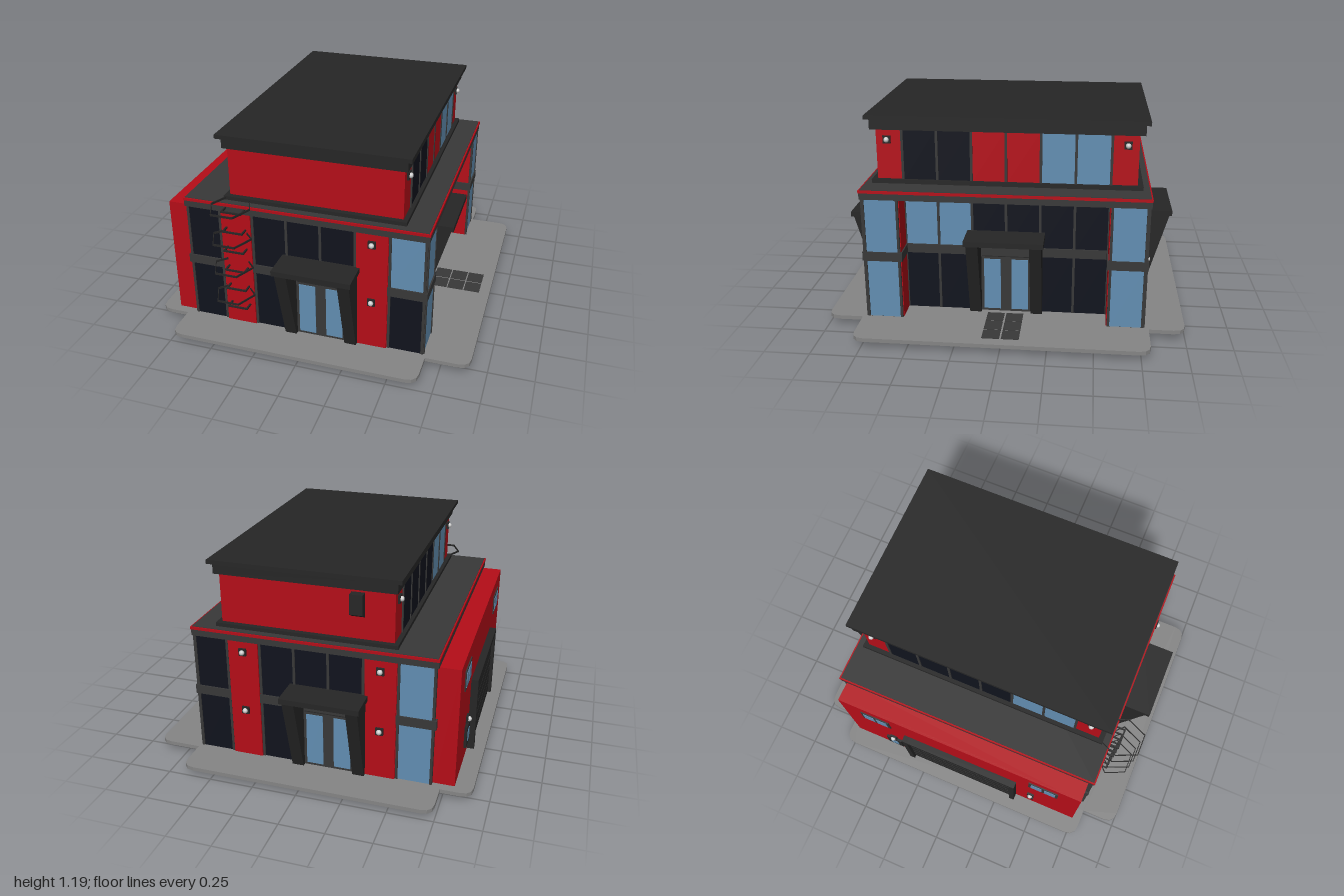
import * as THREE from 'three';

const mat = (color) => new THREE.MeshStandardMaterial({ color });
const RED = mat(0xb50d18), DARK = mat(0x262626), TRIM = mat(0x383838), BLACK = mat(0x10131d),
  BLUE = mat(0x628eb2), PAVING = mat(0x858585), LAMP = mat(0xcccccc);
const paneMat = { r: RED, k: BLACK, b: BLUE };

function add(parent, name, geometry, material) {
  const mesh = new THREE.Mesh(geometry, material);
  mesh.name = name;
  parent.add(mesh);
  return mesh;
}

// Box given by its minimum and maximum on each axis
function box(parent, name, material, x0, x1, y0, y1, z0, z1) {
  const mesh = add(parent, name, new THREE.BoxGeometry(x1 - x0, y1 - y0, z1 - z0), material);
  mesh.position.set((x0 + x1) / 2, (y0 + y1) / 2, (z0 + z1) / 2);
  return mesh;
}

// Plan outline extruded upwards
function slab(parent, name, material, shape, y0, y1) {
  const geo = new THREE.ExtrudeGeometry(shape, { depth: y1 - y0, bevelEnabled: false, curveSegments: 3 });
  geo.rotateX(-Math.PI / 2);
  add(parent, name, geo, material).position.y = y0;
}

// Wall frame: local x runs along the wall, local z points outwards
function wall(parent, name, x, z, angle) {
  const g = new THREE.Group();
  g.name = name;
  g.position.set(x, 0, z);
  g.rotation.y = angle;
  parent.add(g);
  return g;
}

// Row of panes between the given edges, with mullions on the edges
function panes(g, edges, code, y0, y1) {
  [...code].forEach((c, i) => {
    if (c !== '-') box(g, c === 'r' ? 'wallPanel' : 'windowPane', paneMat[c], edges[i] + 0.007, edges[i + 1] - 0.007, y0, y1, -0.01, 0.003);
  });
  edges.forEach((e) => box(g, 'mullion', TRIM, e - 0.007, e + 0.007, y0, y1, -0.01, 0.008));
}

function lamp(g, x, y) {
  box(g, 'lampMount', DARK, x - 0.021, x + 0.021, y - 0.021, y + 0.021, 0, 0.012);
  const globe = add(g, 'lampGlobe', new THREE.SphereGeometry(0.015, 12, 8), LAMP);
  globe.position.set(x, y, 0.015);
}

// Double door under a canopy carried by two tapered fins
function entrance(g, cx) {
  const e = new THREE.Group();
  e.name = 'entrance';
  e.position.x = cx;
  g.add(e);
  box(e, 'canopy', DARK, -0.217, 0.217, 0.515, 0.545, -0.01, 0.178);
  const fin = new THREE.Shape([[0, 0.025], [0.02, 0.025], [0.035, 0.06], [0.165, 0.515], [0, 0.515]].map((p) => new THREE.Vector2(...p)));
  for (const x of [-0.205, 0.14]) {
    const geo = new THREE.ExtrudeGeometry(fin, { depth: 0.065, bevelEnabled: false });
    geo.rotateY(-Math.PI / 2);
    add(e, 'canopyFin', geo, DARK).position.x = x + 0.065;
  }
  box(e, 'doorFrame', TRIM, -0.14, 0.14, 0.06, 0.515, -0.01, 0.014);
  box(e, 'doorHeader', DARK, -0.135, 0.135, 0.455, 0.459, 0, 0.016);
  box(e, 'doorHeader', DARK, -0.135, 0.135, 0.395, 0.399, 0, 0.016);
  for (const s of [-1, 1]) box(e, 'doorGlass', BLUE, s * 0.077 - 0.047, s * 0.077 + 0.047, 0.075, 0.38, 0, 0.018);
}

// Plan of the main block with a recess in its +x side
function plan(o) {
  const x0 = -0.69 - o, x1 = 0.65 + o, xr = 0.51 + o, z = 0.77 + o, zr = 0.57 - o;
  return new THREE.Shape([[x0, -z], [x1, -z], [x1, -zr], [xr, -zr], [xr, zr], [x1, zr], [x1, z], [x0, z]].map((p) => new THREE.Vector2(...p)));
}

// Cross-shaped pavement with rounded outer corners
function pavementShape() {
  const s = new THREE.Shape(), r = 0.065, X = 0.91, Z = 0.8, a = -0.74, b = 0.667;
  const corner = (x, y, dx0, dy0, dx1, dy1) => {
    s.lineTo(x + dx0 * r, y + dy0 * r);
    s.quadraticCurveTo(x, y, x + dx1 * r, y + dy1 * r);
  };
  s.moveTo(a, -Z);
  corner(a, -1, 0, 1, 1, 0);
  corner(b, -1, -1, 0, 0, 1);
  s.lineTo(b, -Z);
  corner(X, -Z, -1, 0, 0, 1);
  corner(X, Z, 0, -1, -1, 0);
  s.lineTo(b, Z);
  corner(b, 1, 0, -1, -1, 0);
  corner(a, 1, 1, 0, 0, -1);
  s.lineTo(a, Z);
  corner(-X, Z, 1, 0, 0, -1);
  corner(-X, -Z, 0, 1, 1, 0);
  s.closePath();
  return s;
}

// Thin strips of a given height following a plan path
function strip(g, name, pts, y, h, t) {
  for (let i = 0; i + 1 < pts.length; i++) {
    const [ax, az] = pts[i], [bx, bz] = pts[i + 1];
    const m = add(g, name, new THREE.BoxGeometry(Math.hypot(bx - ax, bz - az) + t, h, t), DARK);
    m.position.set((ax + bx) / 2, y, (az + bz) / 2);
    m.rotation.y = -Math.atan2(bz - az, bx - ax);
  }
}

export function createModel() {
  const model = new THREE.Group();
  model.name = 'building';
  const PI = Math.PI;

  // Ground
  slab(model, 'pavement', PAVING, pavementShape(), 0.036, 0.058);
  for (let i = 0; i < 3; i++) for (const z of [-0.053, 0.053])
    box(model, 'pavingTile', TRIM, 0.555 + i * 0.1, 0.648 + i * 0.1, 0.05, 0.061, z - 0.048, z + 0.048);

  // Main block
  slab(model, 'mainWalls', TRIM, plan(0), 0.05, 0.77);
  slab(model, 'floorBand', TRIM, plan(0.011), 0.4, 0.452);
  box(model, 'mainRoof', TRIM, -0.7, 0.66, 0.757, 0.793, -0.782, 0.782);
  box(model, 'roofRim', RED, -0.703, 0.663, 0.793, 0.808, -0.785, 0.785);
  box(model, 'roofDeck', TRIM, -0.695, 0.655, 0.8, 0.811, -0.777, 0.777);

  // Front and back walls
  const edges = [-0.664, -0.476, -0.287, -0.095, 0.095, 0.287, 0.476, 0.664];
  const front = wall(model, 'frontWall', -0.02, 0.77, 0);
  const back = wall(model, 'backWall', -0.02, -0.77, PI);
  panes(front, edges, 'krkkkrk', 0.06, 0.4);
  panes(front, edges, 'krkkkrb', 0.452, 0.757);
  panes(back, edges, 'krkkkrb', 0.06, 0.4);
  panes(back, edges, 'krkkkrb', 0.452, 0.757);
  for (const g of [front, back]) {
    entrance(g, 0.097);
    for (const s of [-1, 1]) {
      const x = s * 0.381;
      box(g, 'redPier', RED, x - 0.085, x + 0.085, 0, 0.757, -0.008, 0.0125);
      if (g === back || s > 0) for (const y of [0.345, 0.7]) {
        lamp(g, x, y);
        g.children.slice(-2).forEach((m) => { m.position.z += 0.012; });
      }
    }
  }

  // Corner wings and recessed wall on the +x side
  const wing = wall(model, 'sideWings', 0.65, 0, PI / 2);
  for (const [y0, y1] of [[0.06, 0.4], [0.452, 0.757]]) {
    panes(wing, [-0.764, -0.577], 'b', y0, y1);
    panes(wing, [0.577, 0.764], 'b', y0, y1);
    for (const s of [-1, 1]) box(model, 'recessCheek', RED, 0.515, 0.645, y0, y1, s * 0.57 - 0.004, s * 0.57 + 0.004);
  }
  const recess = wall(model, 'recessedWall', 0.51, 0, PI / 2);
  const sixths = [-3, -2, -1, 0, 1, 2, 3].map((i) => i * 0.189);
  panes(recess, sixths, 'kkkkkk', 0.06, 0.4);
  panes(recess, sixths, 'bbkkkk', 0.452, 0.757);
  entrance(recess, 0);

  // Garage block, open below
  box(model, 'garageOuterWall', RED, -0.81, -0.795, 0, 0.752, -0.75, 0.75);
  box(model, 'garageRoof', RED, -0.81, -0.69, 0.735, 0.752, -0.75, 0.75);
  for (const s of [-1, 1]) box(model, 'garageEndWall', RED, -0.81, -0.69, 0, 0.752, s * 0.743 - 0.007, s * 0.743 + 0.007);
  const garage = wall(model, 'garageFace', -0.81, 0, -PI / 2);
  box(garage, 'garageDoor', DARK, -0.34, 0.34, 0.05, 0.48, 0, 0.012);
  for (let i = 0; i < 6; i++) box(garage, 'garageSlat', DARK, -0.33, 0.33, 0.065 + i * 0.067, 0.122 + i * 0.067, 0, 0.022);
  for (const s of [-1, 1]) box(garage, 'garageDoorPost', DARK, s * 0.347 - 0.016, s * 0.347 + 0.016, 0, 0.5, 0, 0.04);
  box(garage, 'garageDoorLintel', DARK, -0.363, 0.363, 0.468, 0.5, 0, 0.04);
  for (const x of [-0.53, 0.53]) {
    box(garage, 'smallWindowFrame', TRIM, x - 0.09, x + 0.09, 0.56, 0.68, 0, 0.006);
    for (const s of [-1, 1]) box(garage, 'smallWindowGlass', BLUE, x + s * 0.041 - 0.033, x + s * 0.041 + 0.033, 0.577, 0.663, 0, 0.009);
  }
  box(garage, 'lowWindowFrame', DARK, -0.51, -0.41, 0.15, 0.28, 0, 0.015);
  box(garage, 'lowWindowGlass', BLUE, -0.485, -0.435, 0.18, 0.25, 0, 0.018);
  lamp(garage, -0.46, 0.31);
  lamp(garage, 0.46, 0.31);
  box(garage, 'keypad', DARK, 0.44, 0.48, 0.185, 0.225, 0, 0.012);

  // Top storey
  box(model, 'topStoreyBase', DARK, -0.48, 0.53, 0.808, 0.832, -0.74, 0.74);
  box(model, 'topStoreyWalls', RED, -0.455, 0.505, 0.83, 1.115, -0.71, 0.71);
  box(model, 'topStoreyCornice', DARK, -0.472, 0.526, 1.112, 1.172, -0.74, 0.74);
  box(model, 'topRoof', DARK, -0.498, 0.55, 1.172, 1.194, -0.763, 0.763);
  [['topRightWall', 0.505, 1, 'kkrrbb'], ['topLeftWall', -0.455, -1, 'kkkkbb']].forEach(([name, x, s, code]) => {
    const g = wall(model, name, x, 0, s * PI / 2);
    panes(g, sixths, code, 0.832, 1.112);
    for (const e of [-0.65, 0.65]) lamp(g, e, 1.055);
  });

  // Vent box on the back of the top storey
  const vent = new THREE.Shape([[0, 0.955], [0.045, 0.98], [0.045, 1.09], [0, 1.09]].map((p) => new THREE.Vector2(...p)));
  const ventGeo = new THREE.ExtrudeGeometry(vent, { depth: 0.07, bevelEnabled: false });
  ventGeo.rotateY(PI / 2);
  add(model, 'ventBox', ventGeo, DARK).position.set(-0.295, 0, -0.71);

  // Ladder: rungs with safety hoops
  const ladder = new THREE.Group();
  ladder.name = 'ladder';
  model.add(ladder);
  for (let i = 0; i < 6; i++)
    strip(ladder, 'rung', [[-0.455, 0.77], [-0.455, 0.832], [-0.345, 0.832], [-0.345, 0.77]], 0.185 + i * 0.12, 0.009, 0.009);
  for (const y of [0.29, 0.467, 0.645, 0.823])
    strip(ladder, 'safetyHoop', [[-0.46, y > 0.8 ? 0.72 : 0.78], [-0.51, 0.83], [-0.46, 0.943], [-0.34, 0.943], [-0.29, 0.83], [-0.34, y > 0.8 ? 0.72 : 0.78]], y, 0.012, 0.004);
  return model;
}
